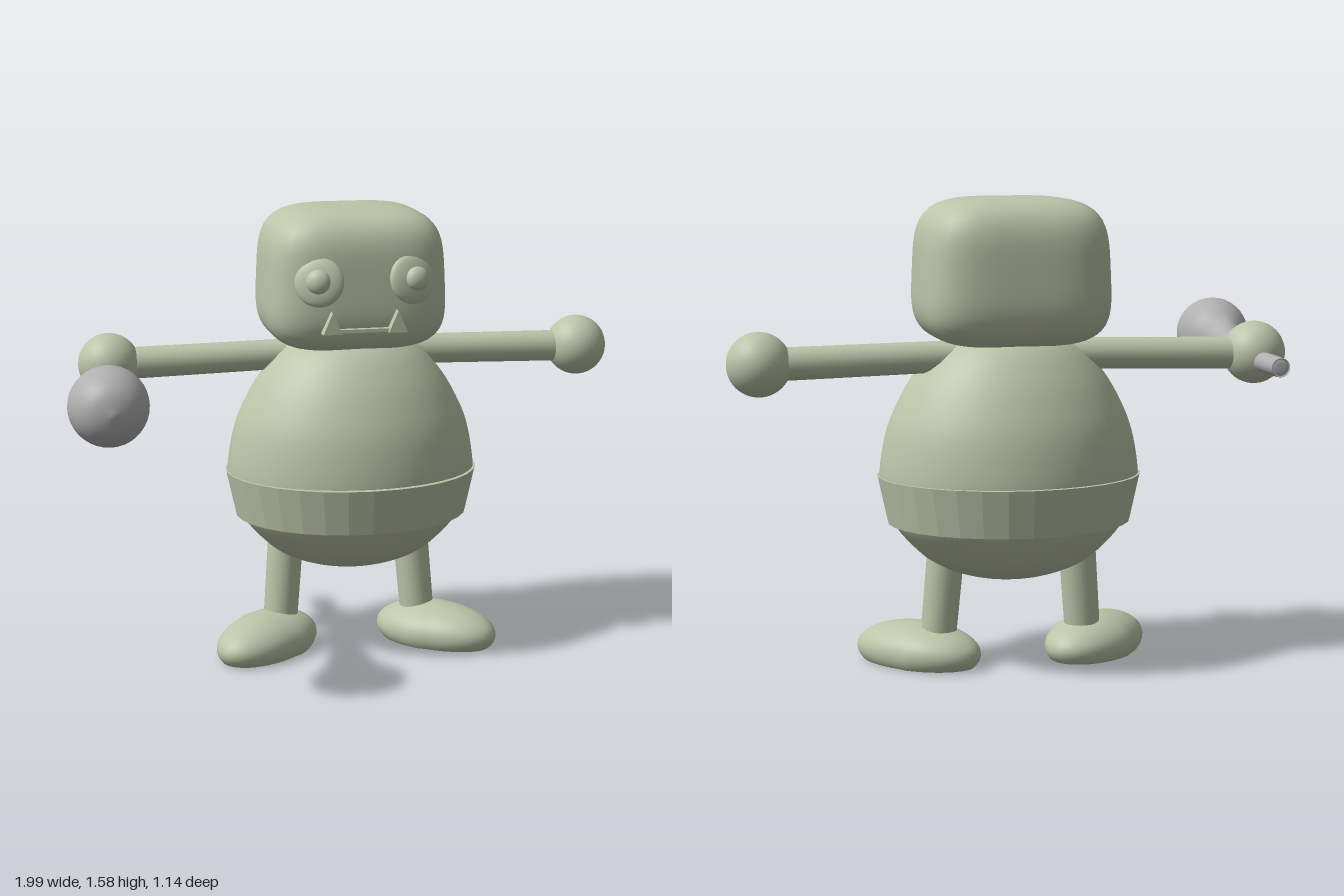
import * as THREE from 'three';
import { mergeVertices } from 'three/addons/utils/BufferGeometryUtils.js';

const CX = 0.045; // midline of the figure
const skin = new THREE.MeshStandardMaterial({ color: 0xbcc4a8, side: THREE.DoubleSide });
skin.name = 'sage skin';
const grey = new THREE.MeshStandardMaterial({ color: 0xb0b0b0, side: THREE.DoubleSide });
grey.name = 'grey club';

function add(parent, name, geometry, material, x = 0, y = 0, z = 0) {
  const mesh = new THREE.Mesh(geometry, material);
  mesh.name = name;
  mesh.position.set(x, y, z);
  parent.add(mesh);
  return mesh;
}

// Move every vertex by a rule, then rebuild smooth normals
function reshape(geometry, rule) {
  geometry.deleteAttribute('uv');
  geometry.deleteAttribute('normal');
  const g = mergeVertices(geometry, 1e-5);
  const p = g.attributes.position;
  const v = new THREE.Vector3();
  for (let i = 0; i < p.count; i++) {
    rule(v.fromBufferAttribute(p, i));
    p.setXYZ(i, v.x, v.y, v.z);
  }
  g.computeVertexNormals();
  return g;
}

// Smooth lathe through [radius, height] points
function turned(points, segments = 48) {
  const curve = new THREE.SplineCurve(points.map(([r, h]) => new THREE.Vector2(r, h)));
  const profile = curve.getPoints(60);
  profile.forEach((p) => { p.x = Math.max(p.x, 0); });
  return new THREE.LatheGeometry(profile, segments);
}

// Cylinder stretched between two points
function limb(parent, name, from, to, r0, r1) {
  const a = new THREE.Vector3(...from), b = new THREE.Vector3(...to);
  const d = b.clone().sub(a);
  const mesh = add(parent, name, new THREE.CylinderGeometry(r1, r0, d.length(), 24), skin);
  mesh.position.copy(a).add(b).multiplyScalar(0.5);
  mesh.quaternion.setFromUnitVectors(new THREE.Vector3(0, 1, 0), d.normalize());
}

export function createModel() {
  const model = new THREE.Group();
  model.name = 'clubOgre';

  // Egg-shaped body, shallower front to back
  const body = add(model, 'body', turned([
    [0, 0.3], [0.12, 0.31], [0.24, 0.35], [0.32, 0.41], [0.395, 0.5], [0.43, 0.6],
    [0.437, 0.67], [0.415, 0.8], [0.375, 0.9], [0.315, 1.0], [0.23, 1.09], [0.12, 1.14], [0, 1.16],
  ]), skin, CX, 0, -0.195);
  body.scale.z = 0.815;

  // Flared waistband with a narrow upper rim
  const band = [[0.41, 0.495], [0.445, 0.655], [0.415, 0.655]].map(([r, y]) => new THREE.Vector2(r, y));
  const bandGeometry = new THREE.LatheGeometry(band, 32).toNonIndexed();
  bandGeometry.computeVertexNormals();
  const belt = add(model, 'waistband', bandGeometry, skin, CX, 0, -0.193);
  belt.scale.z = 0.85;

  // Rounded block head, slightly narrower at the crown
  const headShape = reshape(new THREE.SphereGeometry(1, 64, 48), (v) => {
    const k = (v.x ** 4 + v.y ** 4 + v.z ** 4) ** -0.25;
    v.multiplyScalar(k);
    const taper = 1 - 0.035 * v.y;
    v.set(v.x * 0.312 * taper, v.y * 0.245, v.z * 0.261 * (1 - 0.015 * v.y));
  });
  add(model, 'head', headShape, skin, CX, 1.335, -0.213);

  // Mouth line between the two tusks
  add(model, 'mouth', new THREE.BoxGeometry(0.17, 0.012, 0.05), skin, 0.038, 1.185, 0.04);
  const tuskShape = new THREE.Shape([
    new THREE.Vector2(-0.033, 0), new THREE.Vector2(0.033, 0), new THREE.Vector2(0, 0.075),
  ]);
  const tuskGeometry = new THREE.ExtrudeGeometry(tuskShape, { depth: 0.06, bevelEnabled: false });

  const ball = new THREE.SphereGeometry(1, 32, 24);
  const footShape = reshape(new THREE.SphereGeometry(1, 40, 28), (v) => {
    const height = Math.max(v.y * 0.097, -0.045);
    v.set(v.x * (v.z > 0 ? 0.137 : 0.145), height, v.z * 0.235);
  });

  for (const s of [-1, 1]) {
    const side = s > 0 ? 'left' : 'right';

    add(model, side + 'Tusk', tuskGeometry, skin, 0.038 + s * 0.113, 1.178, 0.02);

    // Flattened eye disc with a bulging pupil, turned outward and up
    const eye = new THREE.Group();
    eye.name = side + 'Eye';
    eye.position.set(CX + s * 0.16, 1.353, 0.045);
    eye.rotation.set(-0.2, s * 0.28, 0);
    add(eye, 'eyeDisc', ball, skin).scale.set(0.084, 0.084, 0.025);
    add(eye, 'pupil', ball, skin, 0, 0, 0.04).scale.set(0.041, 0.041, 0.027);
    model.add(eye);

    // Arm and round hand
    const handX = CX + s * 0.841;
    limb(model, side + 'Arm', [CX + s * 0.13, 1.06, -0.24], [handX, 1.045, -0.247], 0.052, 0.055);
    add(model, side + 'Hand', ball, skin, handX, 1.047, -0.246).scale.setScalar(0.106);

    // Leg and splayed foot
    limb(model, side + 'Leg', [0.038 + s * 0.253, 0.08, -0.188], [0.038 + s * 0.222, 0.46, -0.208], 0.06, 0.063);
    const foot = add(model, side + 'Foot', footShape, skin, 0.037 + s * 0.31, 0.05, -0.135);
    foot.rotation.y = s * Math.PI / 4;
  }

  // Club turned around its length, then bent gently outward
  const clubGeometry = reshape(turned([
    [0, -0.515], [0.026, -0.512], [0.033, -0.49], [0.034, -0.25], [0.038, -0.02], [0.053, 0.13],
    [0.07, 0.245], [0.083, 0.285], [0.112, 0.34], [0.13, 0.42], [0.112, 0.5], [0.068, 0.55], [0, 0.57],
  ], 36).rotateX(Math.PI / 2), (v) => {
    const t = THREE.MathUtils.smoothstep(v.z, -0.25, 0.45);
    v.x += -0.797 - 0.074 * t;
    v.y += 1.023 + 0.022 * t;
  });
  add(model, 'club', clubGeometry, grey);

  return model;
}
